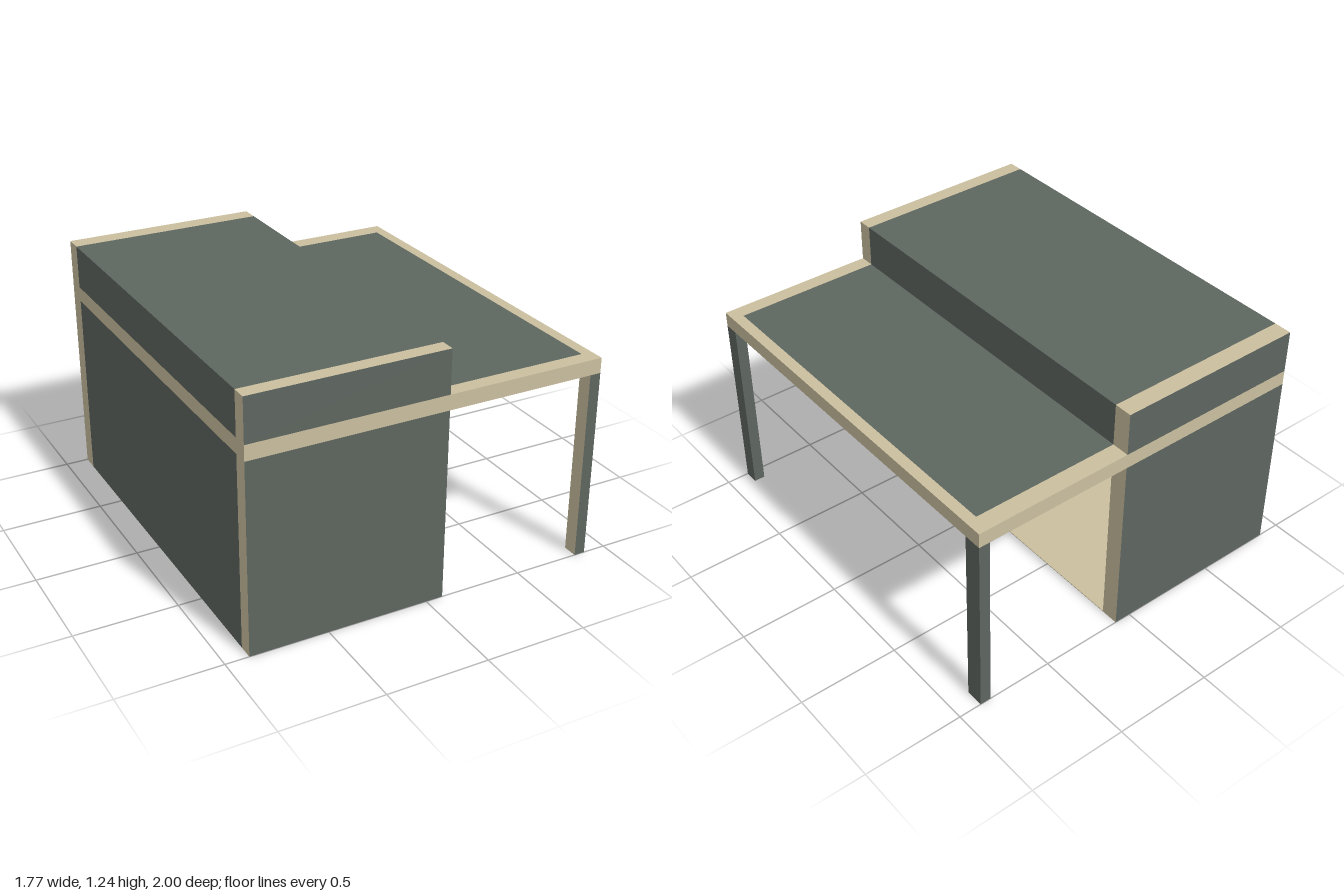
import * as THREE from 'three';

const cream = new THREE.MeshStandardMaterial({ color: 0xcabf9f });
const dark = new THREE.MeshStandardMaterial({ color: 0x5e6660 });
const FACES = ['+x', '-x', '+y', '-y', '+z', '-z'];

// Shared outline coordinates
const LEFT = -0.885, BODY = 0.085, POST = 0.83, RIGHT = 0.885;
const BACK = -1, BACK_IN = -0.91, FRONT_IN = 0.925, FRONT = 1;
const DECK_LOW = 0.945, DECK_TOP = 1.02, ROOF = 1.235;

// Box between [min, max] ranges; the listed faces are dark, the others cream
function panel(parent, name, [x0, x1], [y0, y1], [z0, z1], darkFaces = []) {
  const mesh = new THREE.Mesh(
    new THREE.BoxGeometry(x1 - x0, y1 - y0, z1 - z0),
    FACES.map((f) => (darkFaces.includes(f) ? dark : cream))
  );
  mesh.position.set((x0 + x1) / 2, (y0 + y1) / 2, (z0 + z1) / 2);
  mesh.name = name;
  parent.add(mesh);
}

export function createModel() {
  const model = new THREE.Group();
  model.name = 'tableWithCabinet';
  const inner = [BACK_IN, FRONT_IN];

  // Deck with a dark inlaid top and cream rims
  const deckY = [DECK_LOW, DECK_TOP];
  panel(model, 'deckTop', [LEFT, POST], deckY, inner, ['+y']);
  panel(model, 'deckSideRim', [POST, RIGHT], deckY, inner);

  // Parts repeated at the front and back ends
  const ends = [
    ['front', [FRONT_IN, FRONT], '+z'],
    ['back', [BACK, BACK_IN], '-z'],
  ];
  for (const [end, z, outside] of ends) {
    panel(model, end + 'DeckRim', [LEFT, RIGHT], deckY, z);
    panel(model, end + 'LowerWall', [LEFT, BODY], [0, DECK_LOW], z, [outside]);
    panel(model, end + 'UpperWall', [LEFT, BODY], [DECK_TOP, ROOF], z, [outside]);
    panel(model, end + 'Leg', [POST, RIGHT], [0, DECK_LOW], z, ['+x', '+z', '-z']);
  }

  // Cabinet below the deck, open towards the legs
  panel(model, 'cabinetRearWall', [LEFT, LEFT + 0.13], [0, DECK_LOW], inner, ['-x']);
  panel(model, 'cabinetFloor', [LEFT + 0.13, BODY], [0, 0.004], inner);

  // Closed raised block above the deck
  panel(model, 'upperBlock', [LEFT, BODY], [DECK_TOP, ROOF], inner, ['+x', '-x', '+y']);

  return model;
}
